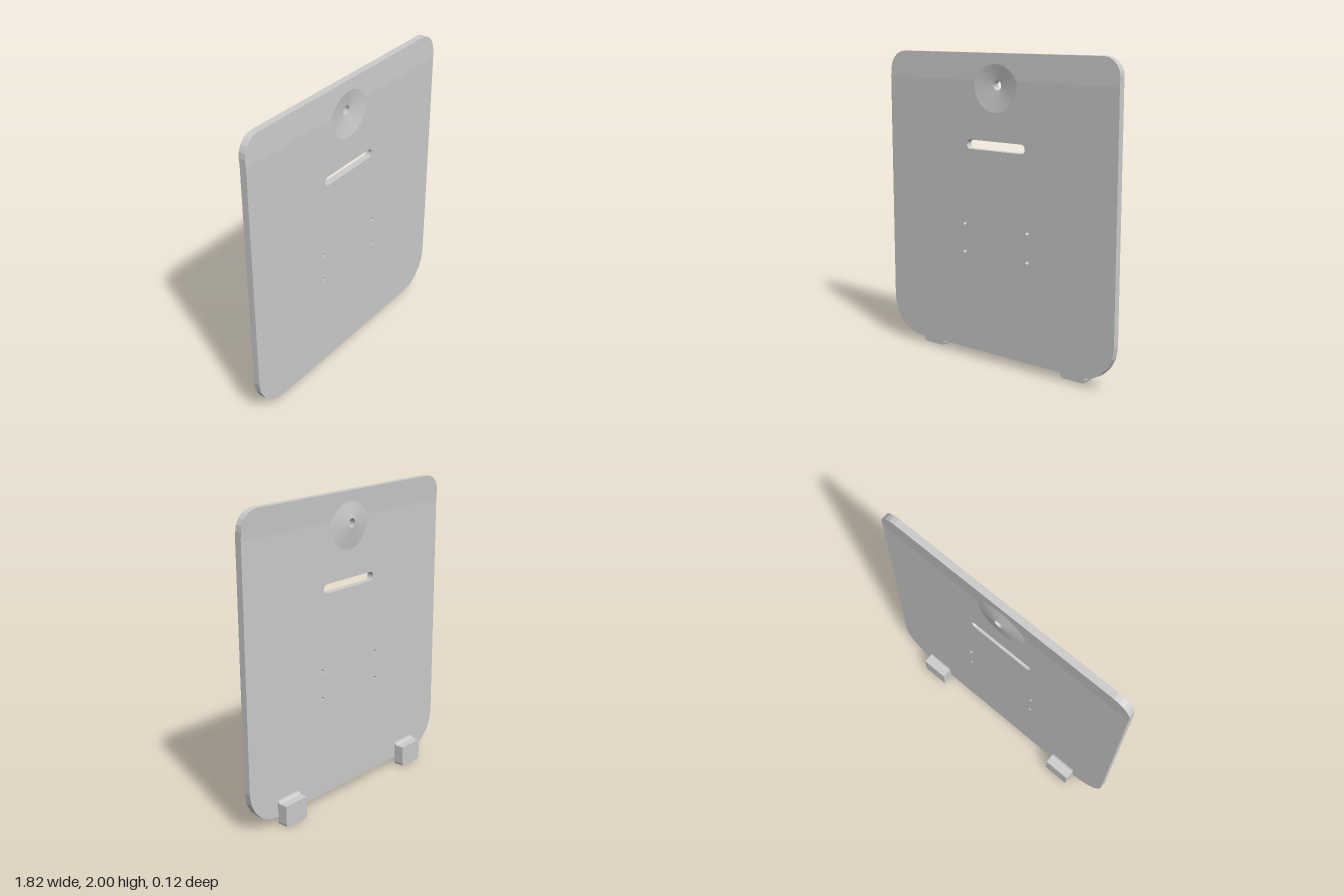
import * as THREE from 'three';

const W = 0.908, BOTTOM = 0.053, TOP = 2, CREASE = 1.83; // plate outline and bend line
const BACK = 0.013, THICK = 0.045, TILT = 0.059;         // back plane, thickness, lean above the bend
const HOLE_Y = 1.8, HOLE_R = 0.03, DISH_R = 0.17, APEX = -0.01;
const SLOPE = (BACK - APEX) / (DISH_R - HOLE_R);

// z of the plate's back surface: flat, leaning back above the bend, with a conical dish
function backZ(x, y) {
  const plate = BACK - TILT * Math.max(0, y - CREASE);
  const cone = APEX + SLOPE * (Math.hypot(x, y - HOLE_Y) - HOLE_R);
  return Math.min(plate, cone);
}

function arc(cx, cy, r, from, to, n) {
  return Array.from({ length: n + 1 }, (_, i) => {
    const a = from + (to - from) * i / n;
    return new THREE.Vector2(cx + r * Math.cos(a), cy + r * Math.sin(a));
  });
}

function createPlate(material) {
  const pos = [];
  const put = (p, t) => pos.push(p.x, p.y, backZ(p.x, p.y) + t);
  // matching front and back triangles
  const tri = (a, b, c) => {
    [a, b, c].forEach(p => put(p, THICK));
    [a, c, b].forEach(p => put(p, 0));
  };
  const sheet = (contour, holes = []) => {
    const all = [contour, ...holes].flat();
    THREE.ShapeUtils.triangulateShape(contour, holes)
      .forEach(([a, b, c]) => tri(all[a], all[b], all[c]));
  };
  // edge faces along a path, outward on its right-hand side
  const wall = (path, closed) => {
    for (let i = 0; i < path.length - (closed ? 0 : 1); i++) {
      const a = path[i], b = path[(i + 1) % path.length];
      put(a, 0); put(b, 0); put(b, THICK);
      put(a, 0); put(b, THICK); put(a, THICK);
    }
  };

  const PI = Math.PI, rb = 0.235, rt = 0.12;
  const left = new THREE.Vector2(-W, CREASE), right = new THREE.Vector2(W, CREASE);
  const lower = [left,
    ...arc(-W + rb, BOTTOM + rb, rb, PI, 1.5 * PI, 5),
    ...arc(W - rb, BOTTOM + rb, rb, 1.5 * PI, 2 * PI, 5), right];
  const upper = [right,
    ...arc(W - rt, TOP - rt, rt, 0, PI / 2, 5),
    ...arc(-W + rt, TOP - rt, rt, PI / 2, PI, 5), left];

  // dish rim, split where it crosses the bend
  const a0 = Math.asin((CREASE - HOLE_Y) / DISH_R);
  const angles = [];
  for (let i = 0; i < 12; i++) angles.push(a0 + (PI - 2 * a0) * i / 12);
  for (let i = 0; i <= 16; i++) angles.push(PI - a0 + (PI + 2 * a0) * i / 16);
  const reach = BACK - APEX + SLOPE * HOLE_R + TILT * (CREASE - HOLE_Y);
  const rim = angles.map((a, i) => {
    const r = i < 12 ? reach / (SLOPE + TILT * Math.sin(a)) : DISH_R;
    return new THREE.Vector2(r * Math.cos(a), HOLE_Y + r * Math.sin(a));
  });
  rim[0].y = rim[12].y = rim[28].y = CREASE;
  rim[0].x = rim[28].x;
  const inner = angles.map(a =>
    new THREE.Vector2(HOLE_R * Math.cos(a), HOLE_Y + HOLE_R * Math.sin(a)));
  for (let i = 0; i < 28; i++) {
    tri(inner[i], rim[i], rim[i + 1]);
    tri(inner[i], rim[i + 1], inner[i + 1]);
  }

  // slot and screw holes, clockwise
  const holes = [[
    ...arc(0.205, 1.42, 0.03, PI / 2, -PI / 2, 10),
    ...arc(-0.205, 1.42, 0.03, 1.5 * PI, PI / 2, 10)]];
  for (const x of [-0.256, 0.256])
    for (const y of [0.713, 0.9])
      holes.push(arc(x, y, 0.0125, 2 * PI, 0, 16).slice(0, 16));

  sheet([...lower, ...rim.slice(12).reverse()], holes);
  sheet([...upper, ...rim.slice(0, 13).reverse()]);
  wall(lower);
  wall(upper);
  holes.forEach(h => wall(h, true));
  wall(inner.slice(0, 28).reverse(), true);

  const geo = new THREE.BufferGeometry();
  geo.setAttribute('position', new THREE.Float32BufferAttribute(pos, 3));
  geo.computeVertexNormals();
  const mesh = new THREE.Mesh(geo, material);
  mesh.name = 'plate';
  return mesh;
}

function createFoot(material, x) {
  const foot = new THREE.Group();
  const w = 0.185, h = 0.145, r = 0.022, depth = 0.071;
  // block with rounded lower corners
  const block = new THREE.Shape();
  block.moveTo(-w / 2, h);
  block.lineTo(-w / 2, r);
  block.quadraticCurveTo(-w / 2, 0, -w / 2 + r, 0);
  block.lineTo(w / 2 - r, 0);
  block.quadraticCurveTo(w / 2, 0, w / 2, r);
  block.lineTo(w / 2, h);
  const blockMesh = new THREE.Mesh(
    new THREE.ExtrudeGeometry(block, { depth, bevelEnabled: false, curveSegments: 5 }), material);
  blockMesh.position.z = BACK - depth;
  blockMesh.name = 'footBlock';

  // concave fillet between block top and plate
  const f = 0.025;
  const profile = new THREE.Shape();
  profile.moveTo(0, 0);
  profile.lineTo(f, 0);
  profile.absarc(f, f, f, 1.5 * Math.PI, Math.PI, true);
  profile.closePath();
  const filletMesh = new THREE.Mesh(
    new THREE.ExtrudeGeometry(profile, { depth: w, bevelEnabled: false, curveSegments: 6 }), material);
  filletMesh.rotation.y = Math.PI / 2;
  filletMesh.position.set(-w / 2, h, BACK);
  filletMesh.name = 'footFillet';

  foot.add(blockMesh, filletMesh);
  foot.position.x = x;
  foot.name = x > 0 ? 'leftFoot' : 'rightFoot';
  return foot;
}

export function createModel() {
  const material = new THREE.MeshStandardMaterial({ color: 0xcccccc, flatShading: true });
  const model = new THREE.Group();
  model.name = 'backPanel';
  model.add(createPlate(material));
  for (const x of [-0.582, 0.582]) model.add(createFoot(material, x));
  return model;
}
